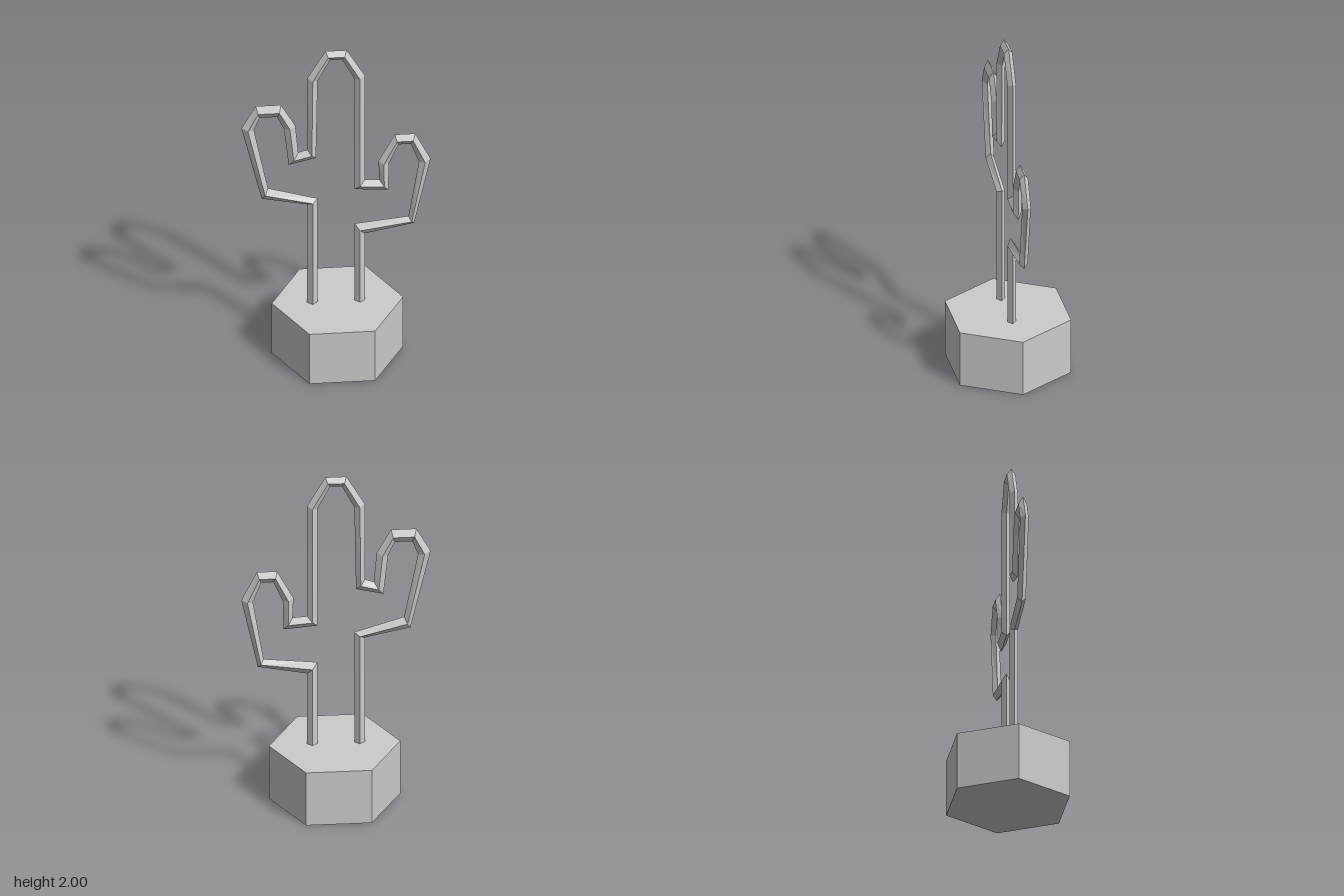
import * as THREE from 'three';

const material = new THREE.MeshStandardMaterial({ color: 0xcccccc, flatShading: true, side: THREE.DoubleSide });

// Mitred corners of the bent frame: [outer x, outer y, inner x, inner y]
const corners = [
  [-0.16, 0.3, -0.103, 0.3], // left foot, sunk into the pot
  [-0.16, 0.984, -0.103, 1.021],
  [-0.41, 1.037, -0.375, 1.105], // right-hand arm of the plant
  [-0.521, 1.513, -0.452, 1.495],
  [-0.442, 1.656, -0.421, 1.577],
  [-0.304, 1.656, -0.325, 1.577],
  [-0.225, 1.513, -0.288, 1.495],
  [-0.209, 1.333, -0.262, 1.254],
  [-0.161, 1.349, -0.112, 1.291],
  [-0.16, 1.825, -0.103, 1.805], // crown
  [-0.06, 2.0, -0.034, 1.94],
  [0.056, 2.0, 0.03, 1.94],
  [0.156, 1.825, 0.099, 1.805],
  [0.156, 1.132, 0.099, 1.07],
  [0.235, 1.127, 0.285, 1.055], // left-hand arm of the plant
  [0.23, 1.249, 0.288, 1.232],
  [0.32, 1.421, 0.341, 1.354],
  [0.431, 1.421, 0.407, 1.354],
  [0.516, 1.249, 0.452, 1.232],
  [0.426, 0.826, 0.394, 0.873],
  [0.156, 0.772, 0.099, 0.841],
  [0.156, 0.3, 0.099, 0.3], // right foot
];

// Sweep a diamond section through the corners
function frameGeometry(zMid, zHalf) {
  const positions = [];
  const indices = [];
  corners.forEach(([ox, oy, ix, iy], i) => {
    const mx = (ox + ix) / 2;
    const my = (oy + iy) / 2;
    positions.push(ox, oy, zMid, mx, my, zMid + zHalf, ix, iy, zMid, mx, my, zMid - zHalf);
    if (i === corners.length - 1) return;
    for (let j = 0; j < 4; j++) {
      const a = i * 4 + j;
      const b = i * 4 + (j + 1) % 4;
      indices.push(a, b, a + 4, b, b + 4, a + 4);
    }
  });
  // End caps
  const e = (corners.length - 1) * 4;
  indices.push(0, 2, 1, 0, 3, 2, e, e + 1, e + 2, e, e + 2, e + 3);
  const indexed = new THREE.BufferGeometry();
  indexed.setAttribute('position', new THREE.Float32BufferAttribute(positions, 3));
  indexed.setIndex(indices);
  const geometry = indexed.toNonIndexed();
  geometry.computeVertexNormals();
  return geometry;
}

export function createModel() {
  const model = new THREE.Group();
  model.name = 'cactusOrnament';

  // Hexagonal pot with corners pointing sideways
  const pot = new THREE.Mesh(new THREE.CylinderGeometry(0.36, 0.36, 0.33, 6), material);
  pot.name = 'pot';
  pot.rotation.y = Math.PI / 2;
  pot.position.set(0.006, 0.165, 0);
  model.add(pot);

  // Bent bar tracing the cactus outline
  const frame = new THREE.Mesh(frameGeometry(0.008, 0.024), material);
  frame.name = 'cactusFrame';
  model.add(frame);

  return model;
}
